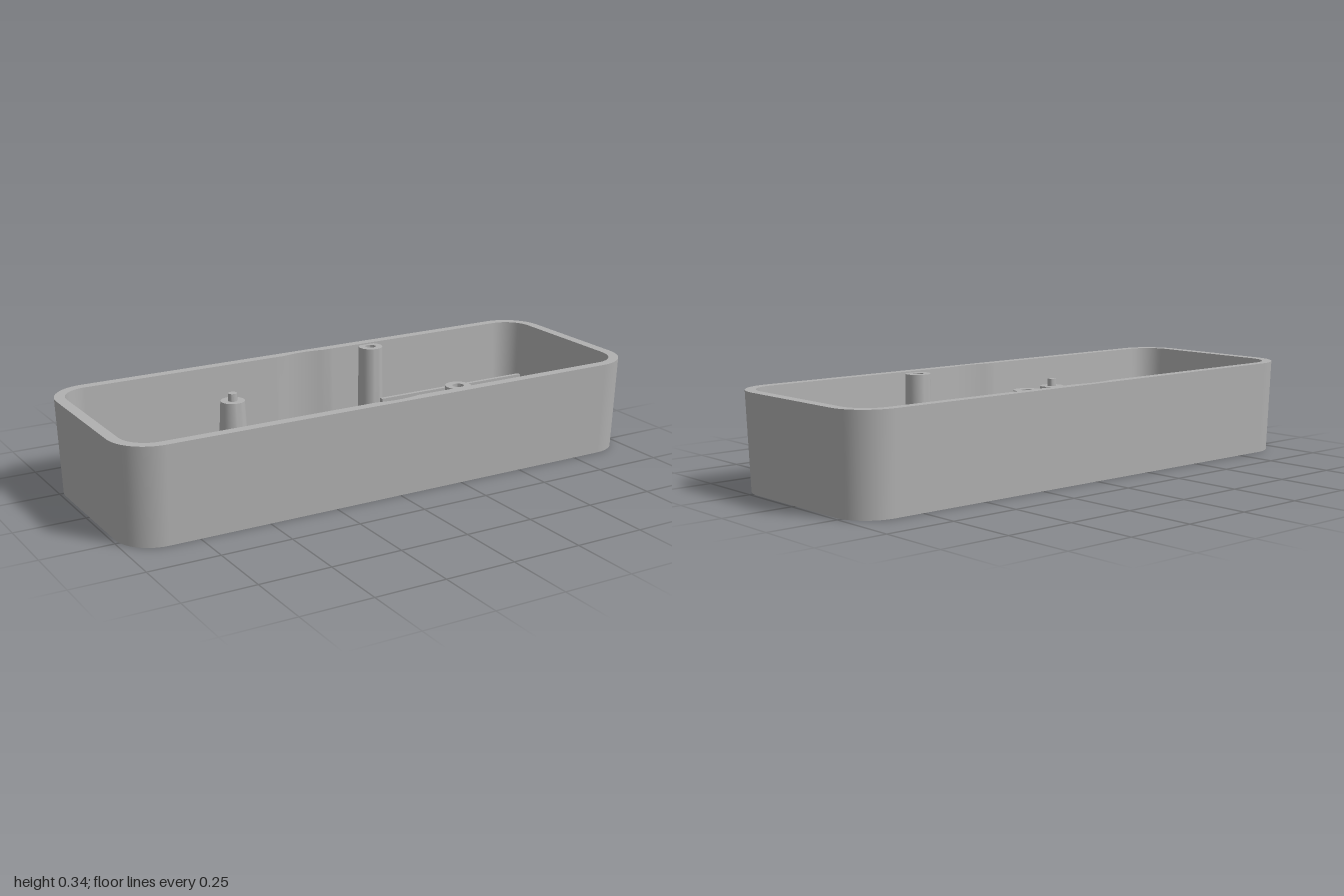
import * as THREE from 'three';
import { mergeGeometries, toCreasedNormals } from 'three/addons/utils/BufferGeometryUtils.js';

const HEIGHT = 0.34, FLOOR = 0.035, LEDGE = 0.02;
const TALL = [[0.27, -0.295], [0.27, 0.29]];
const SHORT = [[-0.35, -0.22], [-0.35, 0.255]];

// Rounded rectangle in x/z; the long sides can bulge out along a circle around the centre
function loop(hx, hz, r, y, bulge = 0) {
  const pts = [];
  const corner = (cx, cz, start) => {
    for (let i = 0; i <= 12; i++) {
      const a = start + (i / 12) * Math.PI / 2;
      pts.push([cx + r * Math.cos(a), y, cz + r * Math.sin(a)]);
    }
  };
  const side = (s) => {
    for (let i = -10; i <= 10; i++) {
      const x = -s * i * 0.012;
      const z = Math.max(hz, Math.sqrt(Math.max(0, bulge * bulge - x * x)));
      pts.push([x, y, s * z]);
    }
  };
  corner(hx - r, hz - r, 0);
  side(1);
  corner(r - hx, hz - r, Math.PI / 2);
  corner(r - hx, r - hz, Math.PI);
  side(-1);
  corner(hx - r, r - hz, Math.PI * 1.5);
  return pts;
}

// Closed band of faces between two loops
function band(a, b) {
  const n = a.length, index = [];
  for (let i = 0; i < n; i++) {
    const j = (i + 1) % n;
    index.push(i, n + i, j, j, n + i, n + j);
  }
  const g = new THREE.BufferGeometry();
  g.setAttribute('position', new THREE.Float32BufferAttribute([...a, ...b].flat(), 3));
  g.setIndex(index);
  g.computeVertexNormals();
  return g;
}

function circle(x, z, r) {
  return new THREE.Path().absarc(x, z, r, 0, Math.PI * 2, true);
}

// Round opening with two flats
function flattedHole(r, flat) {
  const a = Math.asin(flat / r);
  const p = new THREE.Path();
  p.absarc(0, 0, r, -a, a, false);
  p.absarc(0, 0, r, Math.PI - a, Math.PI + a, false);
  p.closePath();
  return p;
}

// Horizontal plate between two heights, with openings
function plate(outline, holes, y0, y1) {
  const shape = new THREE.Shape(outline.map(([x, , z]) => new THREE.Vector2(x, z)));
  shape.holes.push(...holes);
  const g = new THREE.ExtrudeGeometry(shape, { depth: y1 - y0, bevelEnabled: false, curveSegments: 32 });
  g.rotateX(Math.PI / 2).translate(0, y1, 0);
  return toCreasedNormals(g, 0.5);
}

function turned(profile) {
  const g = new THREE.LatheGeometry(profile.map(([r, y]) => new THREE.Vector2(r, y)), 32);
  return toCreasedNormals(g, 0.5);
}

export function createModel() {
  const model = new THREE.Group();
  model.name = 'openCase';
  const grey = new THREE.MeshStandardMaterial({ color: 0xb0b0b0 });
  grey.name = 'grey plastic';
  const add = (name, geometry, x = 0, y = 0, z = 0) => {
    const mesh = new THREE.Mesh(geometry, grey);
    mesh.name = name;
    mesh.position.set(x, y, z);
    model.add(mesh);
  };

  // Drafted wall: outside, rim, inside
  const outerBottom = loop(0.988, 0.351, 0.13, 0);
  const outerTop = loop(1, 0.363, 0.14, HEIGHT);
  const innerTop = loop(0.962, 0.327, 0.1, HEIGHT, 0.337);
  const innerBottom = loop(0.954, 0.317, 0.09, FLOOR - 0.005, 0.337);
  add('wall', mergeGeometries([
    band(outerBottom, outerTop), band(outerTop, innerTop), band(innerTop, innerBottom),
  ]));

  // Floor in two layers, leaving a round ledge around the flatted opening
  const screwHoles = () => [...TALL, ...SHORT].map(([x, z]) => circle(x, z, 0.025));
  add('floorBottom', plate(outerBottom, [flattedHole(0.232, 0.212), ...screwHoles()], 0, LEDGE));
  add('floorTop', plate(loop(0.975, 0.34, 0.11, 0), [circle(0, 0, 0.27), ...screwHoles()], LEDGE, FLOOR));

  // Tall screw posts beside the long walls
  const tall = turned([[0, 0.2], [0.025, 0.2], [0.025, 0], [0.048, 0.03], [0.045, 0.335],
    [0.02, 0.335], [0.02, 0.25], [0, 0.25]]);
  TALL.forEach(([x, z]) => add('tallPost', tall, x, 0, z));

  // Short tapered posts with a locating pin
  const short = turned([[0, 0.2], [0.025, 0.2], [0.025, 0], [0.055, 0.03], [0.044, 0.24],
    [0.017, 0.24], [0.016, 0.268], [0, 0.268]]);
  SHORT.forEach(([x, z]) => add('pinPost', short, x, 0, z));

  // Thin guide rails
  const rail = new THREE.BoxGeometry(0.645, 0.12, 0.015);
  [-0.214, 0.207].forEach((z) => add('guideRail', rail, 0.592, FLOOR + 0.055, z));

  return model;
}
